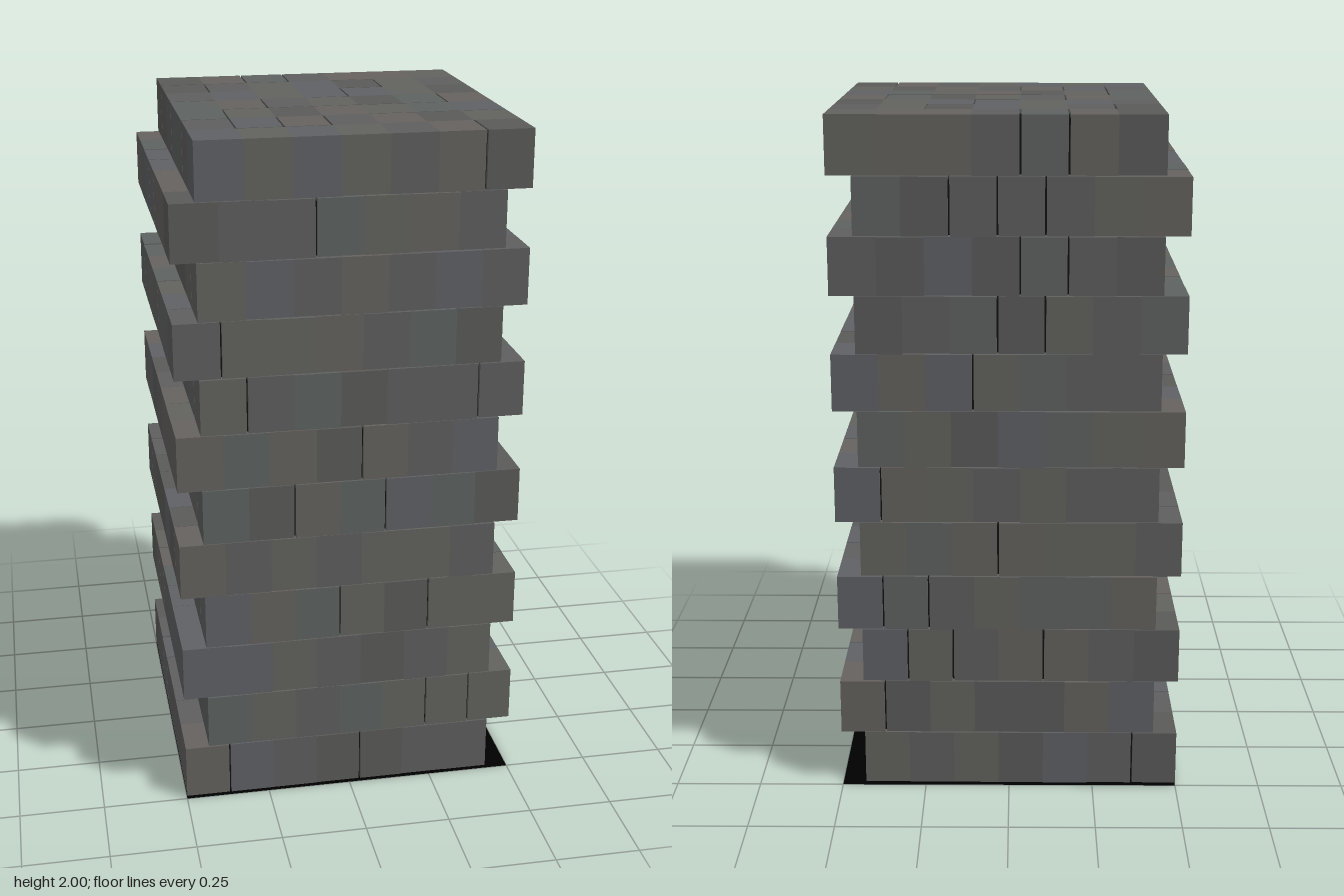
import * as THREE from 'three';

const COURSES = 12, N = 7, BASE = 0.008;
const H = (2 - BASE) / COURSES, W = 0.93 / N, D = 1 / N, GAP = 0.0025;

// open joints along the front and the +x side, listed per course from the bottom
const FRONT = [[1, 4], [5, 6], [], [3, 5], [], [2, 4], [4], [1, 6], [1], [], [3], [6]];
const SIDE = [[6], [2, 5], [2], [2, 5], [1, 6], [2], [], [1, 5], [1], [5], [3, 5], [5]];
// open joints in the top course: per row across x, per column across z
const TOP_X = [[2, 3], [1, 5], [4], [2, 6], [1], [1, 2, 3], [6]];
const TOP_Z = [[1, 3, 5], [1, 4, 6], [1, 4, 6], [3, 4], [1, 2, 4, 5], [4, 5], [5]];

function seeded(seed) {
  return () => {
    seed = (seed * 16807) % 2147483647;
    return seed / 2147483647;
  };
}

export function createModel() {
  const rand = seeded(4711);
  const model = new THREE.Group();
  const shades = [0x62625f, 0x5f5f5f, 0x65625f, 0x5e6260, 0x5f6165, 0x5b5b5a]
    .map((color) => new THREE.MeshStandardMaterial({ color, flatShading: true }));
  const dark = new THREE.MeshStandardMaterial({ color: 0x111111 });
  const black = new THREE.MeshStandardMaterial({ color: 0x000000, side: THREE.DoubleSide });

  // box between two corners
  function block(name, lo, hi, material) {
    const size = hi.map((v, k) => v - lo[k]);
    const mesh = new THREE.Mesh(new THREE.BoxGeometry(...size), material);
    mesh.position.set(...lo.map((v, k) => v + size[k] / 2));
    mesh.name = name;
    return mesh;
  }

  for (let c = 0; c < COURSES; c++) {
    const course = new THREE.Group();
    course.name = `course${c + 1}`;
    const top = c === COURSES - 1;
    // courses shift left and right in turn
    const x0 = c % 2 ? -0.43 : -0.5, y0 = BASE + c * H, z0 = -0.5;
    const randomJoints = () => [1, 2, 3, 4, 5, 6].filter(() => rand() < 0.25);
    const back = randomJoints(), left = randomJoints();
    const jointsX = (j) => (top ? TOP_X[j] : j === N - 1 ? FRONT[c] : j === 0 ? back : []);
    const jointsZ = (i) => (top ? TOP_Z[i] : i === N - 1 ? SIDE[c] : i === 0 ? left : []);

    // dark mortar filling behind the stones
    course.add(block('mortarCore', [x0 + 0.012, y0 + 0.003, z0 + 0.012],
      [x0 + N * W - 0.012, y0 + H - 0.012, z0 + N * D - 0.012], dark));

    // stones: a ring in each course, a full layer on top
    for (let i = 0; i < N; i++) {
      for (let j = 0; j < N; j++) {
        const inner = i > 0 && i < N - 1 && j > 0 && j < N - 1;
        if (inner && !top) continue;
        const inset = (list, k) => (list.includes(k) ? GAP : 0);
        const jx = jointsX(j), jz = jointsZ(i);
        const lo = [x0 + i * W + inset(jx, i), y0 + rand() * 0.003, z0 + j * D + inset(jz, j)];
        const hi = [x0 + (i + 1) * W - inset(jx, i + 1), y0 + H - (top ? 0 : rand() * 0.002),
          z0 + (j + 1) * D - inset(jz, j + 1)];
        course.add(block('stone', lo, hi, shades[Math.floor(rand() * shades.length)]));
      }
    }
    model.add(course);
  }

  // flat base sheet under the column
  const base = new THREE.Mesh(new THREE.PlaneGeometry(1, 1).rotateX(Math.PI / 2), black);
  base.name = 'baseSheet';
  model.add(base);
  return model;
}
